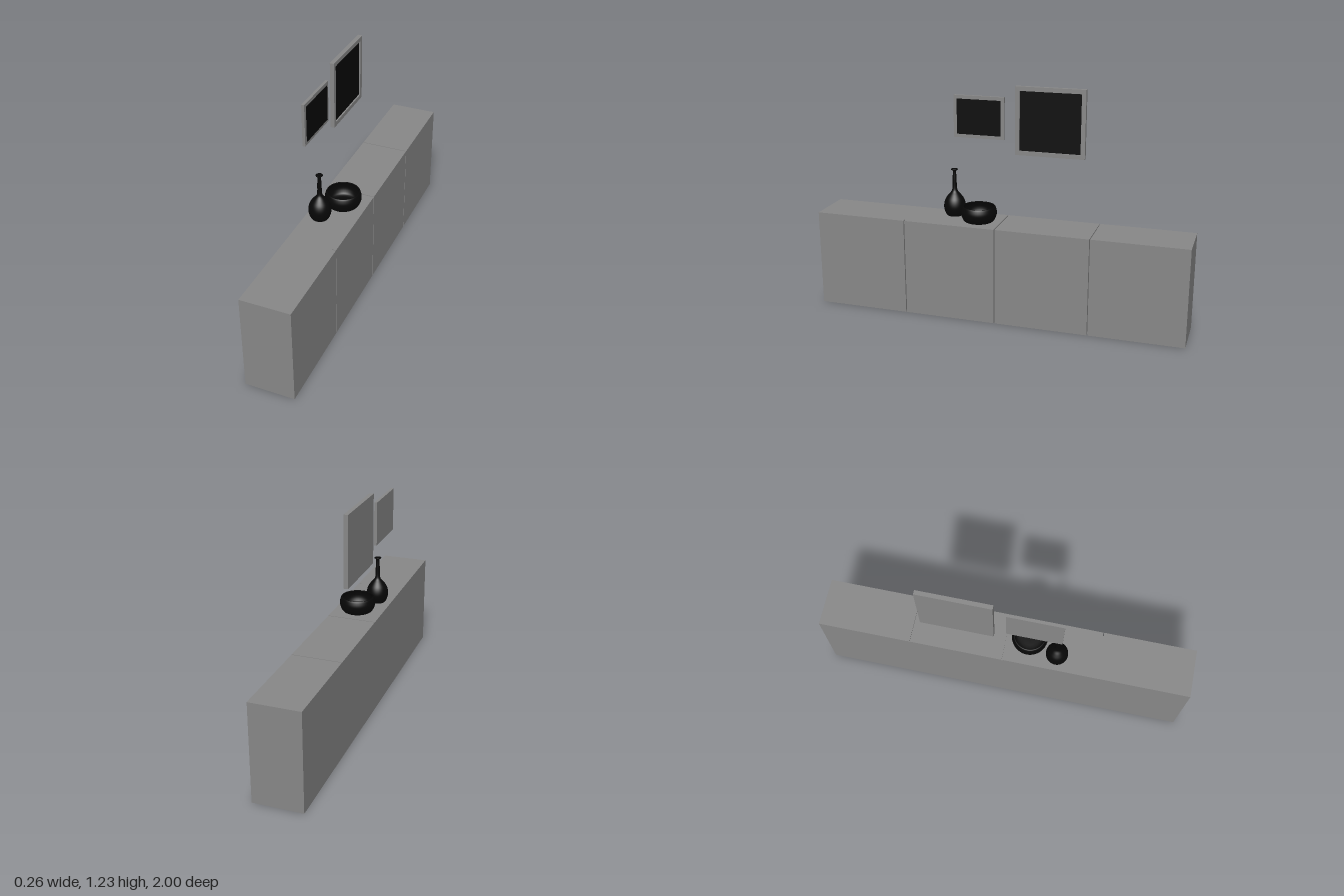
import * as THREE from 'three';

const grey = new THREE.MeshStandardMaterial({ color: 0x888888 });
const black = new THREE.MeshStandardMaterial({ color: 0x070707 });
const blackOpen = new THREE.MeshStandardMaterial({ color: 0x070707, side: THREE.DoubleSide });

// Box given by its lower and upper corners
function box(parent, name, min, max, material = grey) {
  const size = max.map((v, i) => v - min[i]);
  const mesh = new THREE.Mesh(new THREE.BoxGeometry(...size), material);
  mesh.position.set(...max.map((v, i) => (v + min[i]) / 2));
  mesh.name = name;
  parent.add(mesh);
}

function cabinet() {
  const g = new THREE.Group();
  g.name = 'cabinet';
  box(g, 'carcass', [-0.13, 0, -1], [0.11, 0.515, 1]);
  // Top panels with narrow joints
  [[-1, -0.5025], [-0.4975, -0.0025], [0.0025, 1]].forEach(([a, b]) =>
    box(g, 'topPanel', [-0.13, 0.515, a], [0.11, 0.522, b]));
  // Four flush doors separated by open gaps
  for (let i = 0; i < 4; i++) {
    const a = -1 + i * 0.5;
    box(g, 'door', [0.11, 0, a + (i > 0 ? 0.0025 : 0)], [0.13, 0.522, a + 0.5 - (i < 3 ? 0.0025 : 0)]);
  }
  return g;
}

// Wall picture: frame with a hole, plus back panel and canvas
function picture(name, z0, z1, y0, y1, x0, x1, border, canvasX) {
  const g = new THREE.Group();
  g.name = name;
  const w = z1 - z0, h = y1 - y0;
  const rect = (P, inset) => new P([
    new THREE.Vector2(-w / 2 + inset, -h / 2 + inset), new THREE.Vector2(w / 2 - inset, -h / 2 + inset),
    new THREE.Vector2(w / 2 - inset, h / 2 - inset), new THREE.Vector2(-w / 2 + inset, h / 2 - inset)]);
  const shape = rect(THREE.Shape, 0);
  shape.holes.push(rect(THREE.Path, border));
  const frame = new THREE.Mesh(
    new THREE.ExtrudeGeometry(shape, { depth: x1 - x0, bevelEnabled: false }), grey);
  frame.rotation.y = Math.PI / 2;
  frame.position.set(x0, (y0 + y1) / 2, (z0 + z1) / 2);
  frame.name = 'frame';
  g.add(frame);
  box(g, 'backPanel', [x0, y0 + border, z0 + border], [x0 + 0.004, y1 - border, z1 - border]);
  box(g, 'canvas', [x0 + 0.004, y0 + border, z0 + border], [canvasX, y1 - border, z1 - border], black);
  return g;
}

// Turned vessel from a smooth [radius, height] profile
function vessel(name, points, x, z) {
  const curve = new THREE.CatmullRomCurve3(
    points.map(([r, y]) => new THREE.Vector3(r, y, 0)), false, 'centripetal');
  const profile = curve.getPoints(60).map(p => new THREE.Vector2(Math.max(p.x, 0), p.y));
  const mesh = new THREE.Mesh(new THREE.LatheGeometry(profile, 48), blackOpen);
  mesh.position.set(x, 0.522, z);
  mesh.name = name;
  return mesh;
}

export function createModel() {
  const model = new THREE.Group();
  model.name = 'sideboardWithDecor';
  model.add(cabinet());

  model.add(picture('largePicture', -0.413, -0.04, 0.864, 1.226, -0.13, -0.108, 0.023, -0.116));
  model.add(picture('smallPicture', 0.022, 0.3, 0.937, 1.163, -0.128, -0.113, 0.019, -0.109));

  // Rounded bowl, outside then inside wall
  model.add(vessel('bowl', [
    [0, 0], [0.07, 0], [0.08, 0.006], [0.092, 0.03], [0.095, 0.05], [0.092, 0.067], [0.085, 0.082],
    [0.08, 0.082], [0.086, 0.066], [0.088, 0.05], [0.084, 0.03], [0.07, 0.01], [0, 0.006]], 0.008, 0.122));

  // Bottle vase with slender neck, flat flared lip and closed mouth
  model.add(vessel('vase', [
    [0, 0], [0.038, 0], [0.045, 0.006], [0.056, 0.032], [0.058, 0.06], [0.05, 0.09], [0.033, 0.115],
    [0.017, 0.134], [0.0125, 0.15], [0.011, 0.2], [0.0105, 0.248], [0.018, 0.252], [0.018, 0.255],
    [0.009, 0.254], [0, 0.253]], -0.053, 0.278));

  return model;
}
